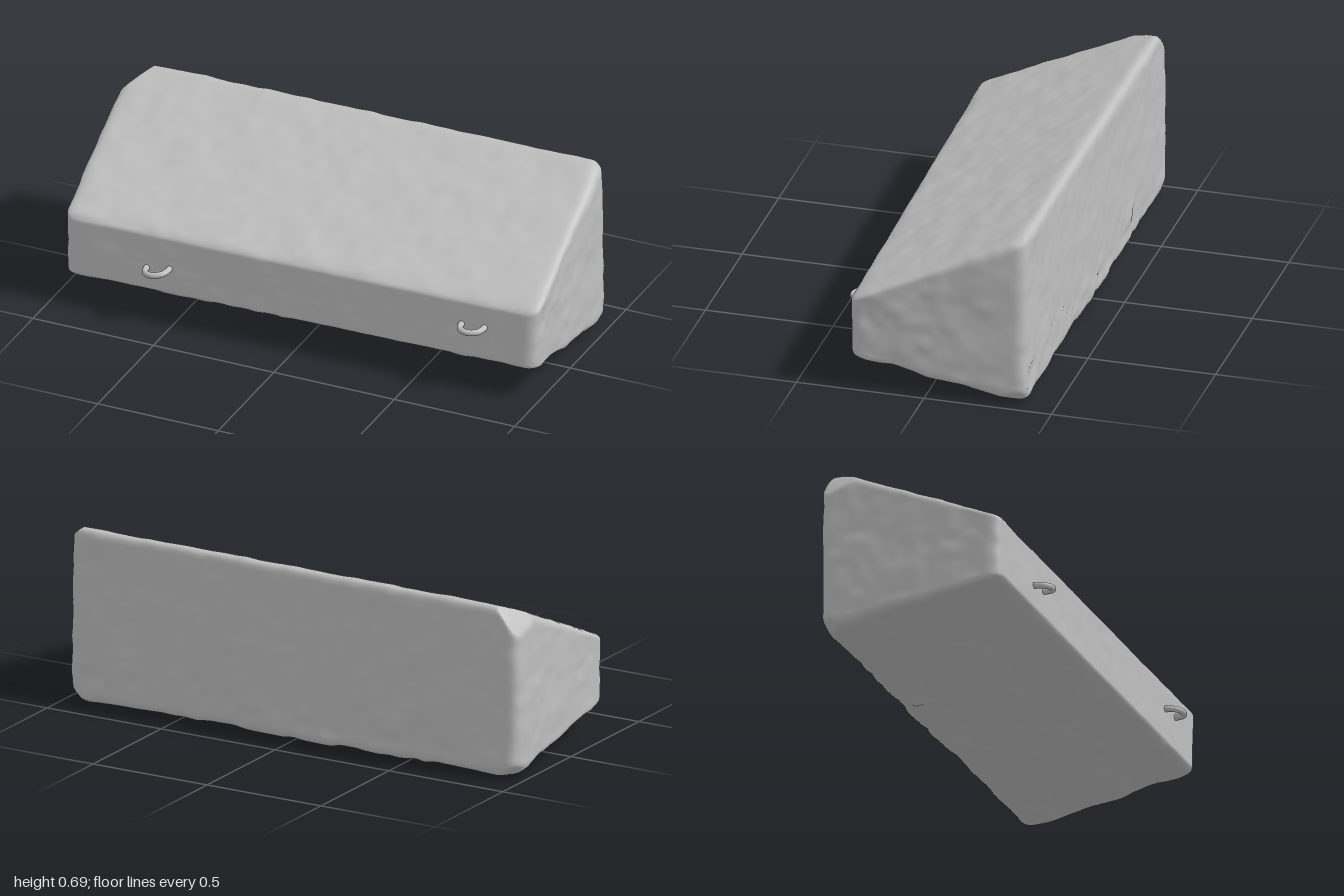
import * as THREE from 'three';
import { mergeVertices } from 'three/addons/utils/BufferGeometryUtils.js';

// Repeatable smooth noise on a 3D lattice, in -1..1
function hash(i, j, k) {
  const s = Math.sin(i * 127.1 + j * 311.7 + k * 74.7) * 43758.5453;
  return (s - Math.floor(s)) * 2 - 1;
}
function noise(x, y, z) {
  const [i, j, k] = [x, y, z].map(Math.floor);
  const [u, v, w] = [x - i, y - j, z - k].map((t) => t * t * (3 - 2 * t));
  let sum = 0;
  for (let a = 0; a < 2; a++)
    for (let b = 0; b < 2; b++)
      for (let c = 0; c < 2; c++)
        sum += (a ? u : 1 - u) * (b ? v : 1 - v) * (c ? w : 1 - w) * hash(i + a, j + b, k + c);
  return sum;
}

// Block corners, indexed by x + 2y + 4z (0 = low side, 1 = high side)
const CORNERS = [
  [-0.997, 0.02, -0.385], [0.975, 0.018, -0.39], [-0.997, 0.715, -0.385], [0.968, 0.727, -0.39],
  [-0.945, 0.14, 0.335], [0.985, 0.145, 0.295], [-0.948, 0.395, 0.335], [0.998, 0.395, 0.295],
].map((c) => new THREE.Vector3(...c));

// Blend a point of the -1..1 cube into the tapered block
function taper(u) {
  const out = new THREE.Vector3();
  CORNERS.forEach((corner, n) => {
    const wx = n & 1 ? 1 + u.x : 1 - u.x;
    const wy = n & 2 ? 1 + u.y : 1 - u.y;
    const wz = n & 4 ? 1 + u.z : 1 - u.z;
    out.addScaledVector(corner, (wx * wy * wz) / 8);
  });
  return out;
}

function blockGeometry() {
  const half = new THREE.Vector3(1, 0.35, 0.36);
  const radius = 0.045;
  const inner = half.clone().subScalar(radius);
  let geo = new THREE.BoxGeometry(2, 0.7, 0.72, 120, 42, 42);
  geo.deleteAttribute('uv');
  geo.deleteAttribute('normal');
  geo = mergeVertices(geo, 1e-4);
  const pos = geo.attributes.position;
  const p = new THREE.Vector3();

  // Planes that shave off the worn corners: normal, point on the plane
  const chips = [
    [[-0.75, 0.6, -0.2], [-0.95, 0.645, -0.33]],
    [[0.6, 0.8, -0.1], [0.95, 0.69, -0.36]],
    [[0.7, -0.7, -0.2], [0.955, 0.055, -0.35]],
    [[-0.6, -0.7, -0.4], [-0.965, 0.06, -0.36]],
  ].map(([n, o]) => [new THREE.Vector3(...n).normalize(), new THREE.Vector3(...o)]);

  for (let i = 0; i < pos.count; i++) {
    // Round the edges, then taper
    p.fromBufferAttribute(pos, i);
    const core = p.clone().clamp(inner.clone().negate(), inner);
    const dir = p.clone().sub(core).normalize();
    p.copy(core).addScaledVector(dir, radius).divide(half);
    const q = taper(p);
    for (const [n, o] of chips) {
      const depth = q.clone().sub(o).dot(n);
      if (depth > 0) q.addScaledVector(n, -depth * 0.9);
    }
    // Uneven cast surface, roughest along the underside and lower back
    const rough = dir.z > 0.8 ? 0.3 : dir.y < -0.3 || (dir.z < -0.3 && q.y < 0.2) ? 1.3 : 0.75;
    const bump = 0.005 * noise(q.x * 7, q.y * 9, q.z * 9) + 0.004 * noise(q.x * 19 + 5, q.y * 22, q.z * 22);
    q.addScaledVector(dir, bump * rough);
    // Small drip under the bottom edge
    const drip = Math.hypot(q.x + 0.25, q.z + 0.31);
    if (dir.y < -0.5 && drip < 0.035) q.y -= 0.022 * (1 - drip / 0.035);
    pos.setXYZ(i, q.x, Math.max(0, q.y), q.z);
  }
  geo.computeVertexNormals();
  return geo;
}

// Bent-bar lifting loop set into the front face
function liftingLoop(name, x, y, z, reach, tilt, material) {
  const w = 0.046;
  const path = new THREE.CatmullRomCurve3([
    [-w, 0, -0.04], [-w, 0, reach * 0.3], [-w * 0.75, 0, reach * 0.75], [0, 0, reach],
    [w * 0.75, 0, reach * 0.75], [w, 0, reach * 0.3], [w, 0, -0.04],
  ].map((c) => new THREE.Vector3(...c)));
  const loop = new THREE.Mesh(new THREE.TubeGeometry(path, 36, 0.012, 12), material);
  loop.name = name;
  loop.position.set(x, y, z);
  loop.rotation.set(0.1, 0, tilt);
  return loop;
}

export function createModel() {
  const group = new THREE.Group();
  group.name = 'concreteBlock';
  const concrete = new THREE.MeshStandardMaterial({ color: 0xbfbfbf });
  concrete.name = 'concrete grey';

  const block = new THREE.Mesh(blockGeometry(), concrete);
  block.name = 'block';
  group.add(
    block,
    liftingLoop('rightLiftingLoop', -0.56, 0.25, 0.326, 0.056, 0.15, concrete),
    liftingLoop('leftLiftingLoop', 0.735, 0.29, 0.3, 0.052, 0.05, concrete),
  );
  return group;
}
